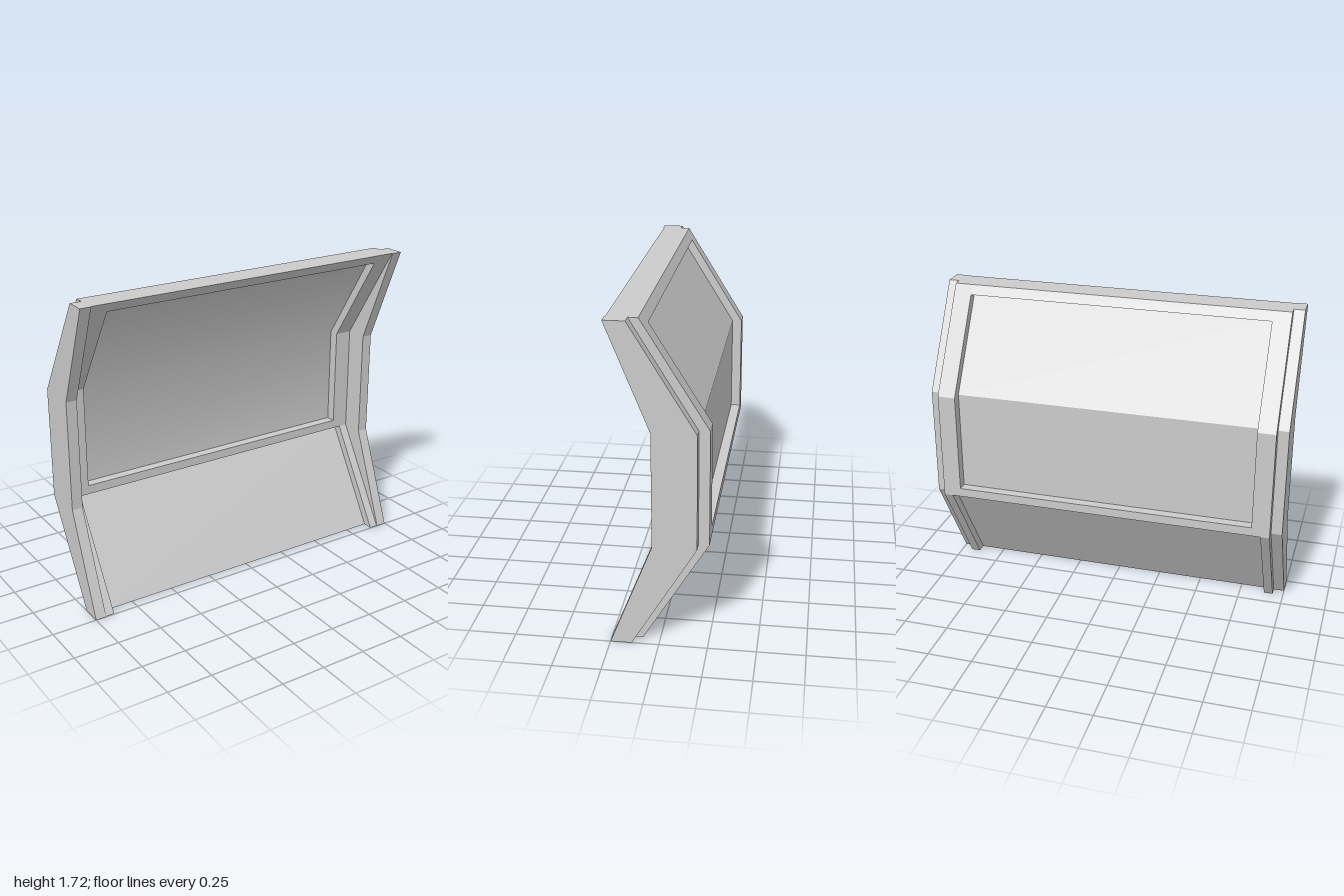
import * as THREE from 'three';

const HEIGHT = 1.72, LOW = 0.56, HIGH = 1.17; // overall height and the two bend heights

// Forward lean of the bent section: 0 between the bends, 1 at the top and bottom ends
const lean = (y) => Math.max(0, (LOW - y) / LOW, (y - HIGH) / (HEIGHT - HIGH));

export function createModel() {
  const group = new THREE.Group();
  const material = new THREE.MeshStandardMaterial({ color: 0xcccccc });

  // Piece that follows the bend: back/front are depths between the bends,
  // backLean/frontLean are how far each side comes forward at the ends.
  function bent(name, x0, x1, y0, y1, back, front, backLean = 0.34, frontLean = 0.34) {
    const ys = [y0, LOW, HIGH, y1].filter((y, i) => i === 0 || i === 3 || (y > y0 && y < y1));
    const frontPts = ys.map((y) => new THREE.Vector2(front + frontLean * lean(y), y));
    const backPts = ys.map((y) => new THREE.Vector2(back + backLean * lean(y), y)).reverse();
    const geometry = new THREE.ExtrudeGeometry(new THREE.Shape([...frontPts, ...backPts]), {
      depth: x1 - x0, bevelEnabled: false,
    });
    geometry.rotateY(-Math.PI / 2).translate(x1, 0, 0);
    const mesh = new THREE.Mesh(geometry, material);
    mesh.name = name;
    group.add(mesh);
    return mesh;
  }

  // Side flanges and the frame stiles next to them, mirrored
  for (const [side, s] of [['left', 1], ['right', -1]]) {
    const part = (name, a, b, ...rest) =>
      bent(side + name, Math.min(s * a, s * b), Math.max(s * a, s * b), ...rest);
    part('Flange', 0.94, 1, 0, HEIGHT, -0.195, 0.03, 0.335, 0.22);
    part('UpperStile', 0.84, 0.94, LOW, HEIGHT, -0.25, -0.095);
    part('LowerStile', 0.89, 0.94, 0, LOW, -0.25, -0.095);
  }

  // Rails above and below the upper panel
  bent('topRail', -0.84, 0.84, 1.67, HEIGHT, -0.25, -0.095);
  bent('middleRail', -0.84, 0.84, LOW, 0.61, -0.25, -0.095);

  // Panels recessed on both faces
  bent('lowerPanel', -0.89, 0.89, 0, LOW, -0.195, -0.15);
  const upper = bent('upperPanel', -0.84, 0.84, 0.61, 1.67, -0.195, -0.15);

  // Soften the bend on the front face of the upper panel
  const { position, normal } = upper.geometry.attributes;
  for (let i = 0; i < position.count; i++) {
    if (normal.getZ(i) > 0.3 && Math.abs(position.getY(i) - HIGH) < 0.001) {
      normal.setXYZ(i, 0, -0.272, 0.962);
    }
  }
  return group;
}
